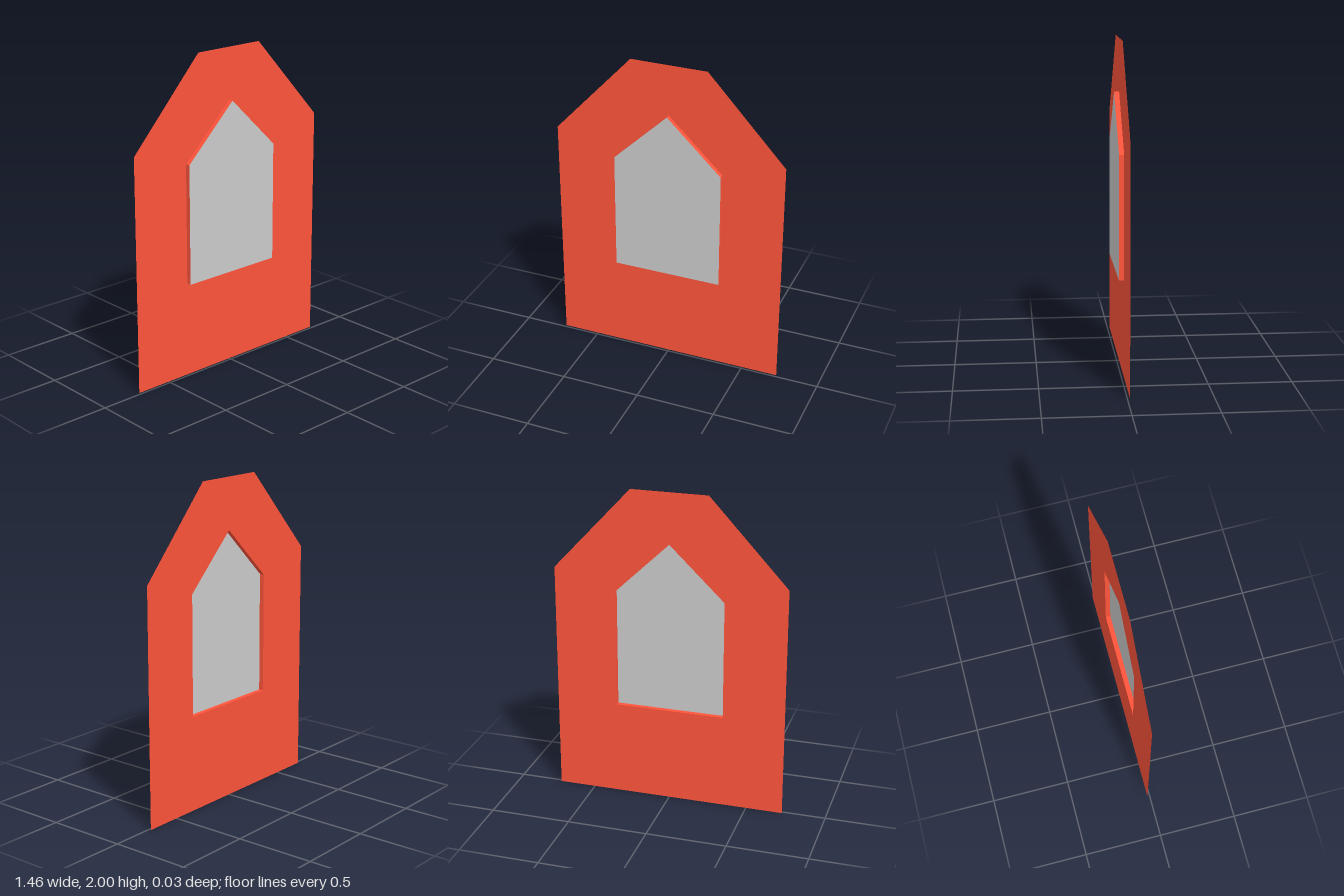
import * as THREE from 'three';

const DEPTH = 0.03;

export function createModel() {
  const group = new THREE.Group();
  const red = new THREE.MeshStandardMaterial({ color: 0xff543b, side: THREE.DoubleSide, flatShading: true });
  const grey = new THREE.MeshStandardMaterial({ color: 0xcccccc, side: THREE.DoubleSide, flatShading: true });

  const add = (name, geometry, material, z = 0) => {
    const mesh = new THREE.Mesh(geometry, material);
    mesh.name = name;
    mesh.position.z = z;
    group.add(mesh);
  };
  const toPoints = (list) => list.map(([x, y]) => new THREE.Vector2(x, y));

  // Outlines, counter-clockwise from the front
  const wallOutline = toPoints([[-0.73, 0], [0.73, 0], [0.73, 1.47], [0.24, 2], [-0.24, 2], [-0.73, 1.47]]);
  const windowOutline = toPoints([[-0.342, 0.6], [0.342, 0.6], [0.342, 1.35], [0, 1.68], [-0.342, 1.35]]);

  // Thin gable wall with a window opening
  const wall = new THREE.Shape(wallOutline);
  wall.holes.push(new THREE.Path(windowOutline));
  add('gableWall', new THREE.ShapeGeometry(wall), red, -DEPTH / 2);

  // Shallow frame running forward from the opening, one quad per edge
  const positions = [];
  windowOutline.forEach((a, i) => {
    const b = windowOutline[(i + 1) % windowOutline.length];
    positions.push(a.x, a.y, 0, b.x, b.y, 0, b.x, b.y, DEPTH);
    positions.push(a.x, a.y, 0, b.x, b.y, DEPTH, a.x, a.y, DEPTH);
  });
  const frame = new THREE.BufferGeometry();
  frame.setAttribute('position', new THREE.Float32BufferAttribute(positions, 3));
  frame.computeVertexNormals();
  add('windowFrame', frame, red, -DEPTH / 2);

  // Pane closing the front of the frame
  add('windowPane', new THREE.ShapeGeometry(new THREE.Shape(windowOutline)), grey, DEPTH / 2);

  return group;
}
